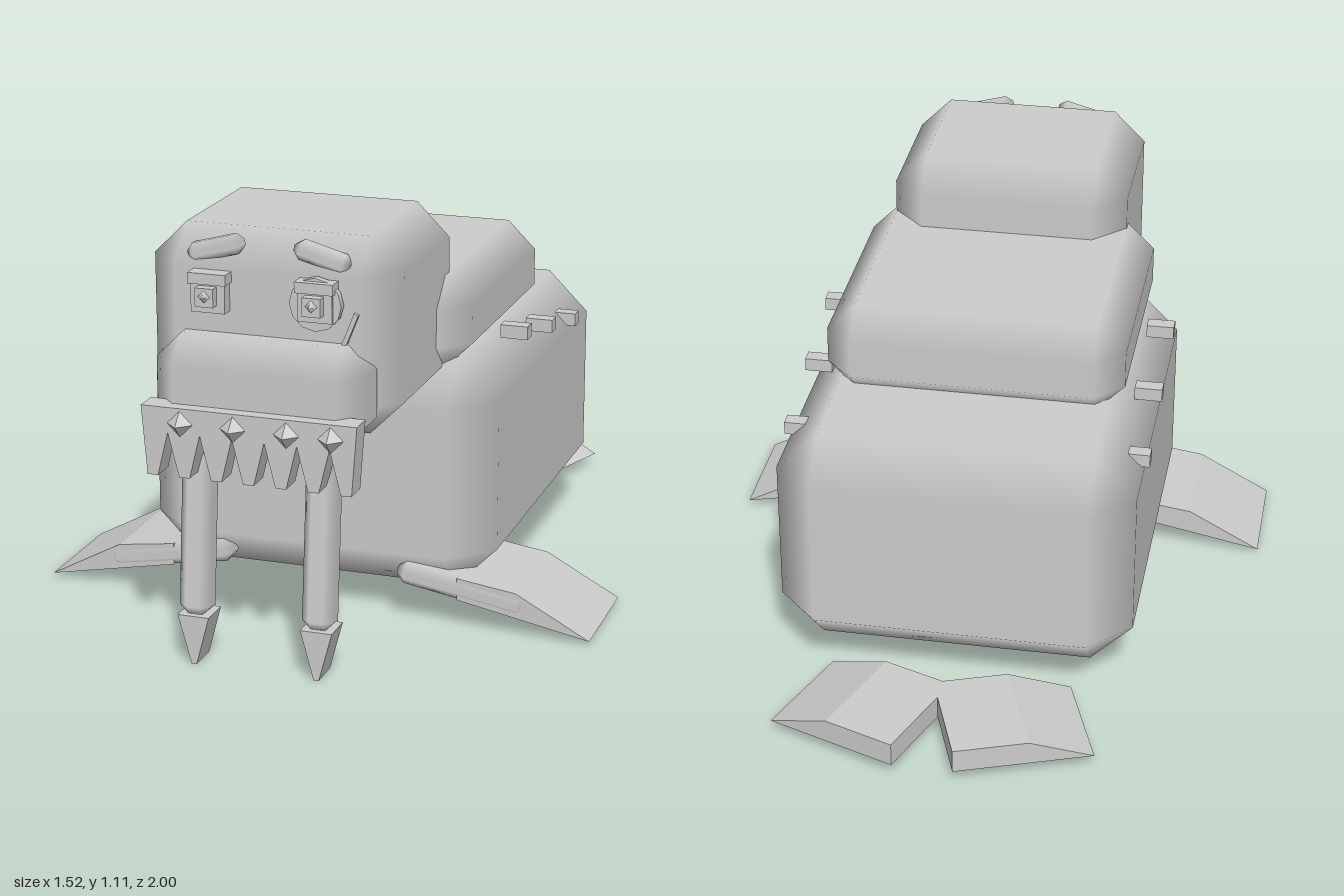
import * as THREE from 'three';
import { ConvexGeometry } from 'three/addons/geometries/ConvexGeometry.js';

export function createModel() {
  const model = new THREE.Group();
  model.name = 'walrus';
  const grey = new THREE.MeshStandardMaterial({ color: 0xcccccc });
  grey.name = 'plainGrey';

  function add(name, geometry, x = 0, y = 0, z = 0, parent = model) {
    const mesh = new THREE.Mesh(geometry, grey);
    mesh.name = name;
    mesh.position.set(x, y, z);
    parent.add(mesh);
    return mesh;
  }

  // Box with one bevel step: flat sides, smooth shading across the bevels
  function bevelBox(w, h, d, r) {
    const half = [w / 2, h / 2, d / 2];
    const points = [];
    for (let axis = 0; axis < 3; axis++)
      for (const sx of [-1, 1]) for (const sy of [-1, 1]) for (const sz of [-1, 1]) {
        const p = [sx, sy, sz].map((s, i) => s * (half[i] - (i === axis ? 0 : r)));
        points.push(new THREE.Vector3(...p));
      }
    const geometry = new ConvexGeometry(points);
    const pos = geometry.attributes.position;
    const normal = geometry.attributes.normal;
    for (let i = 0; i < pos.count; i++) {
      const p = [pos.getX(i), pos.getY(i), pos.getZ(i)];
      normal.setXYZ(i, ...p.map((v, k) => (Math.abs(v) > half[k] - r * 0.5 ? Math.sign(v) : 0)));
    }
    return geometry;
  }

  // Bevelled box given by its limits
  function block(name, [x0, x1], [y0, y1], [z0, z1], r) {
    return add(name, bevelBox(x1 - x0, y1 - y0, z1 - z0, r), (x0 + x1) / 2, (y0 + y1) / 2, (z0 + z1) / 2);
  }

  // Outline in x and y, extruded along z
  function prism(outline, depth) {
    const shape = new THREE.Shape(outline.map(([x, y]) => new THREE.Vector2(x, y)));
    return new THREE.ExtrudeGeometry(shape, { depth, bevelEnabled: false });
  }

  // Main masses
  block('body', [-0.48, 0.48], [0.08, 0.71], [-0.625, 0.52], 0.113);
  block('shoulders', [-0.405, 0.405], [0.675, 0.93], [-0.28, 0.48], 0.077);
  block('head', [-0.33, 0.33], [0.6, 1.11], [0.28, 0.835], 0.088);
  block('muzzle', [-0.28, 0.28], [0.6, 0.855], [0.74, 0.935], 0.066);

  // Moustache: a bar with seven hanging points
  const fringe = [[0.283, 0.69], [-0.283, 0.69]];
  for (let i = 0; i < 7; i++) {
    const x = (i - 3) * 0.085;
    fringe.push([x - 0.014, 0.51], [x + 0.014, 0.51]);
    if (i < 6) fringe.push([x + 0.0425, 0.625]);
  }
  add('moustache', prism(fringe, 0.065), 0, 0, 0.905);
  for (const x of [-0.18, -0.04, 0.1, 0.215]) {
    const stud = new THREE.ConeGeometry(0.036, 0.035, 4).toNonIndexed();
    stud.computeVertexNormals();
    add('moustacheStud', stud.rotateX(Math.PI / 2), x, 0.65, 0.985);
  }

  for (const side of [-1, 1]) {
    const half = new THREE.Group();
    half.name = side > 0 ? 'leftParts' : 'rightParts';
    half.scale.x = side;
    model.add(half);

    // Tusk leaning forward towards its point
    add('tusk', bevelBox(0.085, 0.445, 0.078, 0.024), 0.165, 0.35, 0.893, half).rotation.x = -0.1;
    add('tuskTip', prism([[-0.042, 0.13], [-0.007, 0], [0.007, 0], [0.042, 0.13]], 0.085), 0.165, 0, 0.86, half);

    // Front flipper: bevelled root and tapering blade
    add('frontFlipperRoot', bevelBox(0.36, 0.062, 0.33, 0.022), 0.41, 0.108, 0.353, half).rotation.z = -0.17;
    add('frontFlipper', prism([[0.4, 0.08], [0.76, 0.01], [0.56, 0.118], [0.4, 0.14]], 0.32), 0, 0, 0.19, half);

    // Hind flipper, thinning towards its outer edge
    const hind = prism([[0, 0], [0.373, 0], [0.2, 0.065], [0, 0.065]], 0.3);
    add('hindFlipper', hind, 0.08, 0.035, -1, half).rotation.y = -0.35;

    // Three pegs along the flank
    for (let i = 0; i < 3; i++)
      add('flankPeg', new THREE.BoxGeometry(0.075, 0.036, 0.04), 0.457, 0.727 - i * 0.052, 0.17 - i * 0.255, half);

    // Eye with lid, pupil and pointed glint
    add('eye', new THREE.BoxGeometry(0.09, 0.085, 0.05), 0.14, 0.955, 0.845, half);
    add('eyelid', new THREE.BoxGeometry(0.1, 0.028, 0.06), 0.14, 1.0, 0.848, half);
    add('pupil', new THREE.BoxGeometry(0.048, 0.048, 0.03), 0.14, 0.957, 0.88, half);
    add('glint', new THREE.ConeGeometry(0.016, 0.022, 4).rotateX(Math.PI / 2), 0.14, 0.96, 0.906, half);

    // Brow sloping up to the middle
    add('brow', bevelBox(0.15, 0.05, 0.055, 0.018), 0.14, 1.063, 0.805, half).rotation.z = -0.27;
  }

  // Monocle and its cord on the left eye
  add('monocle', new THREE.CylinderGeometry(0.068, 0.068, 0.02, 12).rotateX(Math.PI / 2), 0.138, 0.955, 0.85);
  const cord = add('monocleCord', new THREE.BoxGeometry(0.012, 0.09, 0.012), 0.222, 0.893, 0.84);
  cord.rotation.z = -0.38;

  return model;
}
